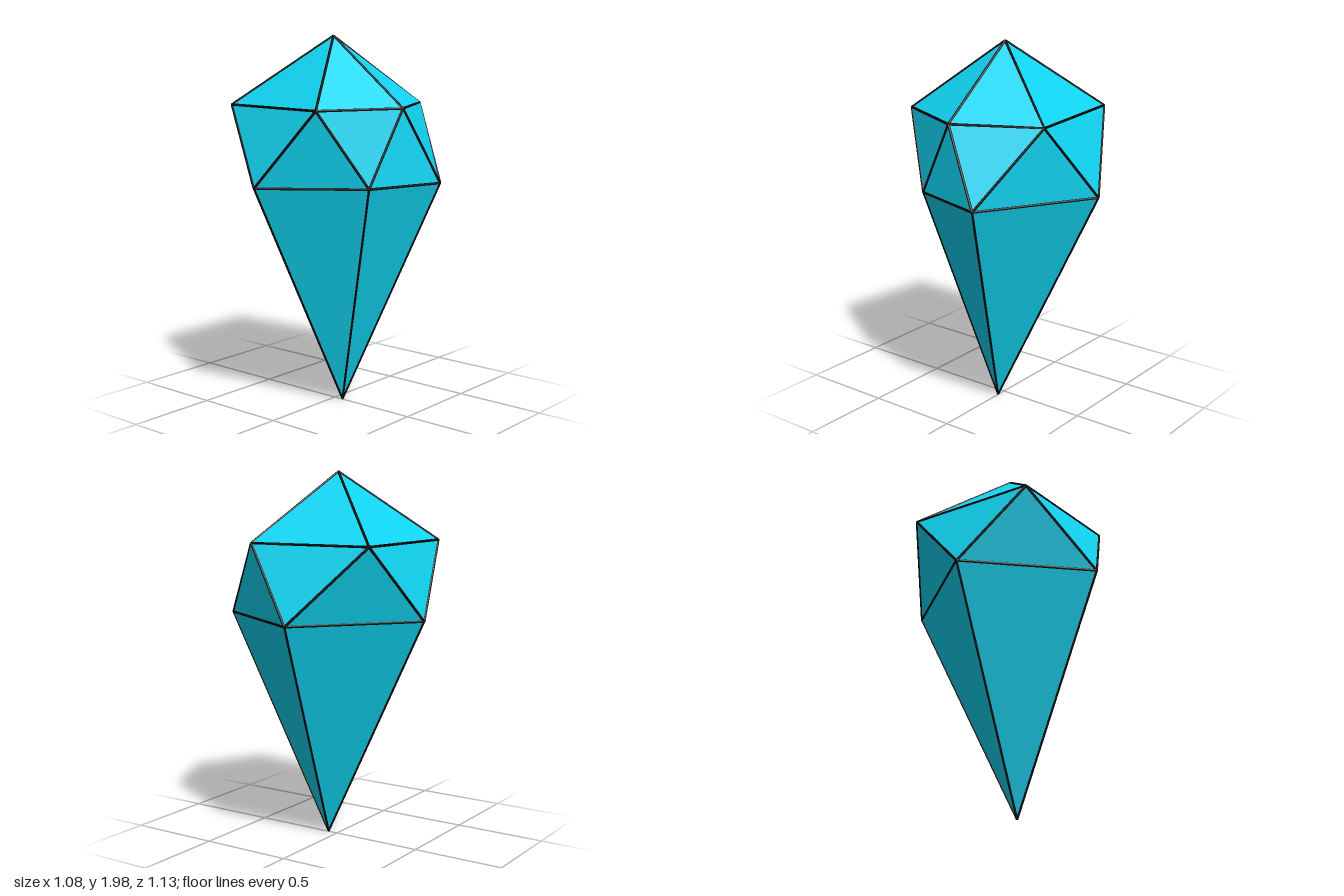
import * as THREE from 'three';

const V = (x, y, z) => new THREE.Vector3(x, y, z);

export function createModel() {
  const model = new THREE.Group();
  model.name = 'crystal';

  // Corner points: crown tip, upper ring, girdle ring, lower tip
  const top = V(-0.01, 1.99, 0);
  const tip = V(0.055, 0.015, 0);
  const upper = [[0.45, 0], [0.24, 0.43], [-0.42, 0.35], [-0.42, -0.35], [0.24, -0.43]]
    .map(([x, z]) => V(x, 1.63, z));
  const girdle = [[0.405, 0.215], [-0.06, 0.56], [-0.535, 0], [-0.06, -0.56], [0.535, -0.215]]
    .map(([x, z]) => V(x, 1.235, z));

  // Gem facets; one upper corner bulges slightly over its frame bars
  const facetUpper = upper.map((p) => p.clone());
  facetUpper[4].add(V(0.004, 0.003, -0.002));
  const positions = [];
  const facet = (...corners) => corners.forEach((p) => positions.push(p.x, p.y, p.z));
  for (let i = 0; i < 5; i++) {
    const j = (i + 1) % 5;
    facet(top, facetUpper[j], facetUpper[i]);
    facet(facetUpper[i], facetUpper[j], girdle[i]);
    facet(facetUpper[j], girdle[j], girdle[i]);
    facet(girdle[i], girdle[j], tip);
  }
  const gemGeometry = new THREE.BufferGeometry();
  gemGeometry.setAttribute('position', new THREE.Float32BufferAttribute(positions, 3));
  gemGeometry.computeVertexNormals();
  const gem = new THREE.Mesh(gemGeometry,
    new THREE.MeshStandardMaterial({ color: 0x11d6f4, flatShading: true }));
  gem.name = 'gem';
  model.add(gem);

  // Thin dark bars along every edge
  const frame = new THREE.Group();
  frame.name = 'edgeFrame';
  model.add(frame);
  const dark = new THREE.MeshStandardMaterial({ color: 0x050505 });
  const bar = (name, a, b, radius = 0.007) => {
    const dir = b.clone().sub(a);
    const mesh = new THREE.Mesh(new THREE.CylinderGeometry(radius, radius, dir.length(), 8), dark);
    mesh.name = name;
    mesh.position.copy(a).add(b).multiplyScalar(0.5);
    mesh.quaternion.setFromUnitVectors(V(0, 1, 0), dir.normalize());
    frame.add(mesh);
  };
  for (let i = 0; i < 5; i++) {
    const j = (i + 1) % 5;
    bar('crownBar', top, upper[i]);
    bar('upperRingBar', upper[i], upper[j]);
    bar('bandBar', upper[i], girdle[i]);
    bar('bandBar', upper[j], girdle[i]);
    bar('girdleBar', girdle[i], girdle[j]);
    bar('pointBar', girdle[i], tip, 0.006);
  }
  return model;
}
